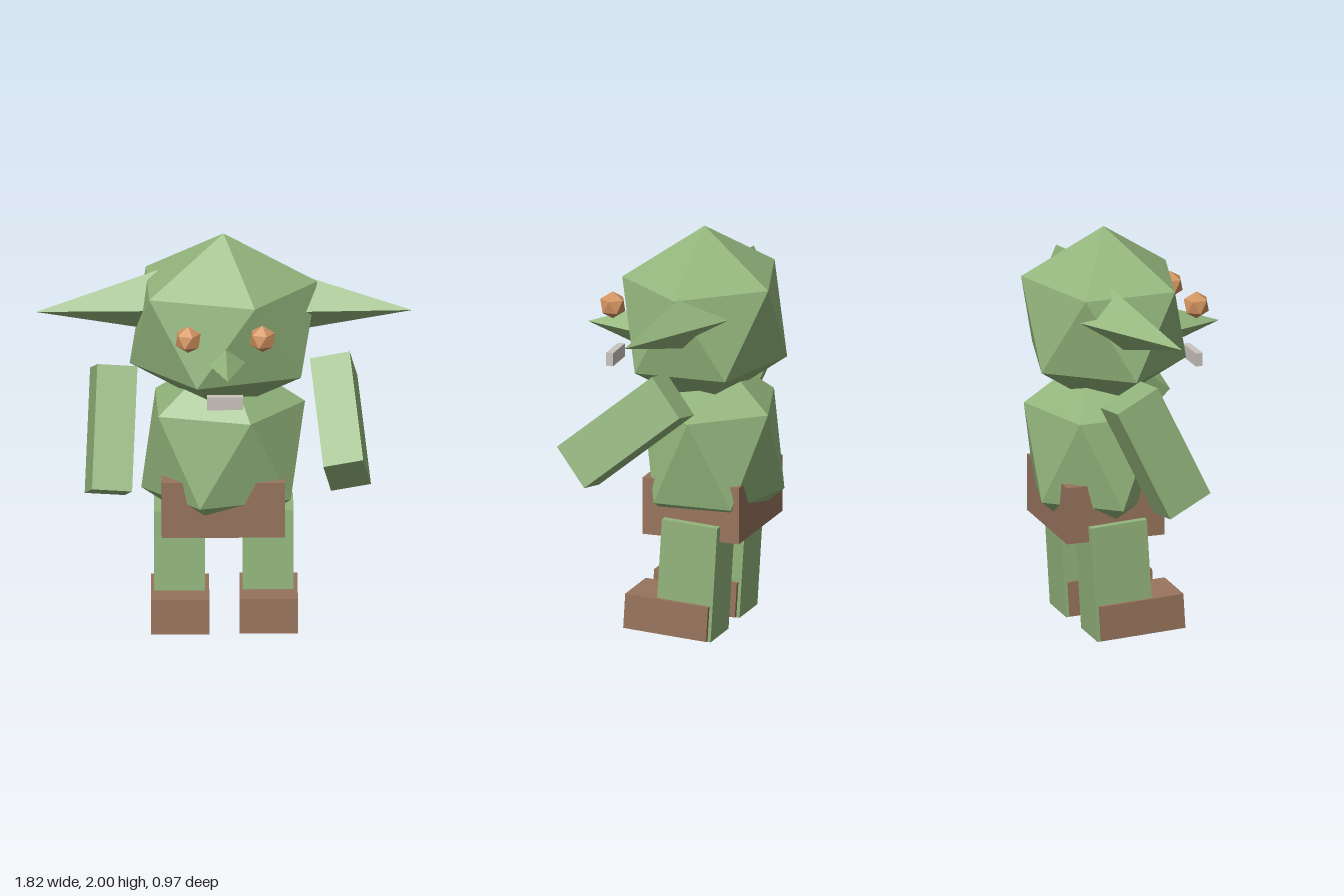
import * as THREE from 'three';
import { ConvexGeometry } from 'three/addons/geometries/ConvexGeometry.js';

const V = (x, y, z) => new THREE.Vector3(x, y, z);

function material(name, color) {
  const m = new THREE.MeshStandardMaterial({ color, flatShading: true });
  m.name = name;
  return m;
}

// Icosahedron standing on a corner, stretched to the given radii
function icosahedron(rx, ry, rz) {
  const points = [V(0, ry, 0), V(0, -ry, 0)];
  for (let i = 0; i < 10; i++) {
    const a = (i * Math.PI) / 5;
    const up = i % 2 === 0 ? 1 : -1;
    points.push(V(Math.cos(a) * rx * 0.8944, up * ry * 0.4472, Math.sin(a) * rz * 0.8944));
  }
  return new ConvexGeometry(points);
}

export function createModel() {
  const model = new THREE.Group();
  model.name = 'goblin';
  const skin = material('green skin', 0x93b57c);
  const leather = material('brown leather', 0x98745d);
  const amber = material('amber eyes', 0xd2935f);
  const bone = material('pale mouth', 0xcac4be);

  function add(name, geometry, mat, x, y, z) {
    const mesh = new THREE.Mesh(geometry, mat);
    mesh.name = name;
    mesh.position.set(x, y, z);
    model.add(mesh);
    return mesh;
  }

  // Head and torso
  add('head', icosahedron(0.509, 0.46, 0.44), skin, 0, 1.54, -0.108);
  add('torso', icosahedron(0.444, 0.49, 0.376), skin, 0, 0.89, -0.155);

  // Four-sided spike from a direction and its tip
  function spike(name, tip, direction, radius, length) {
    const geometry = new THREE.ConeGeometry(radius, length, 4);
    geometry.translate(0, -length / 2, 0);
    const mesh = add(name, geometry, skin, tip.x, tip.y, tip.z);
    mesh.quaternion.setFromUnitVectors(V(0, 1, 0), direction.normalize());
    return mesh;
  }
  spike('nose', V(0, 1.457, 0.49), V(0, 0, 1), 0.097, 0.27);

  // Ears lean forward: the cone is laid sideways, then turned about y
  for (const [name, side, z] of [['leftEar', 1, -0.01], ['rightEar', -1, -0.045]]) {
    const ear = spike(name, V(side * 0.912, 1.628, z), V(side, 0, 0), 0.183, 0.72);
    ear.quaternion.premultiply(
      new THREE.Quaternion().setFromAxisAngle(V(0, 1, 0), -side * 0.235));
  }

  // Face
  add('leftEye', icosahedron(0.068, 0.068, 0.068), amber, 0.175, 1.608, 0.303);
  add('rightEye', icosahedron(0.068, 0.068, 0.068), amber, -0.185, 1.608, 0.303);
  add('mouth', new THREE.BoxGeometry(0.174, 0.066, 0.035), bone, -0.008, 1.298, 0.352);

  // Arms: boxes aligned to a sideways and an upward direction
  function arm(name, x, y, z, across, up) {
    const mesh = add(name, new THREE.BoxGeometry(0.197, 0.61, 0.243), skin, x, y, z);
    up.normalize();
    const front = across.clone().cross(up).normalize();
    const basis = new THREE.Matrix4().makeBasis(up.clone().cross(front), up, front);
    mesh.quaternion.setFromRotationMatrix(basis);
  }
  arm('leftArm', 0.56, 1.1, 0.105, V(0.195, 0.037, 0.01), V(-0.05, 0.385, -0.47));
  arm('rightArm', -0.547, 1.013, -0.045, V(0.19, -0.02, -0.015), V(0.035, 0.55, -0.26));

  // Loincloth, legs and shoes, all turned very slightly
  const yaw = -0.03;
  add('loincloth', new THREE.BoxGeometry(0.597, 0.285, 0.5), leather, 0, 0.643, -0.148)
    .rotation.y = yaw;
  for (const [name, x] of [['left', 0.2165], ['right', -0.2125]]) {
    const leg = add(name + 'Leg', new THREE.BoxGeometry(0.246, 0.58, 0.288), skin, x, 0.299, -0.134);
    const shoe = add(name + 'Shoe', new THREE.BoxGeometry(0.282, 0.175, 0.43), leather, x, 0.107, -0.035);
    for (const part of [leg, shoe]) part.rotation.set(-0.06, yaw, 0, 'YXZ');
  }
  return model;
}
